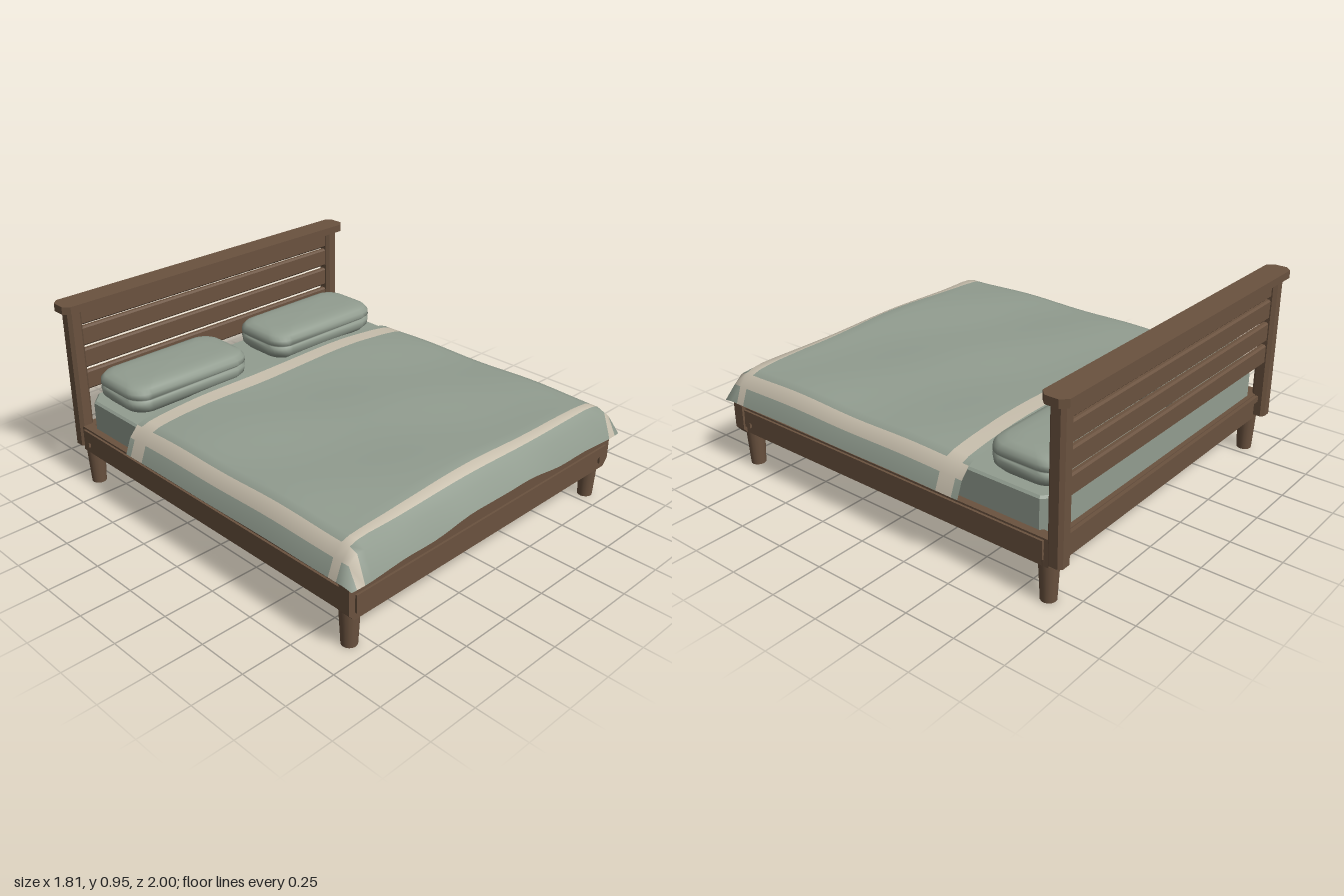
import * as THREE from 'three';

const mat = (name, color, side = THREE.FrontSide) => {
  const m = new THREE.MeshStandardMaterial({ color, side });
  m.name = name;
  return m;
};

// Octagonal outline: a w x h rectangle with cut corners
function cutRect(w, h, c) {
  const x = w / 2, y = h / 2;
  return new THREE.Shape([
    [-x + c, -y], [x - c, -y], [x, -y + c], [x, y - c],
    [x - c, y], [-x + c, y], [-x, y - c], [-x, -y + c],
  ].map(p => new THREE.Vector2(...p)));
}

// Straight extrusion along z, centred
function prism(shape, depth) {
  const g = new THREE.ExtrudeGeometry(shape, { depth, bevelEnabled: false });
  return g.translate(0, 0, -depth / 2);
}

// Piecewise linear profile lookup
function lookup(points, t) {
  for (let i = 1; i < points.length; i++) {
    const [a, ya] = points[i - 1], [b, yb] = points[i];
    if (t <= b) return ya + (yb - ya) * Math.max(0, (t - a) / (b - a));
  }
  return points[points.length - 1][1];
}

// Sorted list with every span subdivided to a maximum step
function subdivide(stops, step) {
  const out = [stops[0]];
  for (let i = 1; i < stops.length; i++) {
    const a = stops[i - 1], b = stops[i], n = Math.ceil((b - a) / step - 1e-6);
    for (let k = 1; k <= n; k++) out.push(a + (b - a) * k / n);
  }
  return out;
}

// Draped cover: a height field with cream bands as a second material group
function coverGeometry() {
  const xs = subdivide([-0.905, -0.875, -0.83, -0.79, 0.79, 0.83, 0.875, 0.905], 0.06);
  const zs = subdivide([-0.475, -0.44, -0.355, 0.87, 0.915, 0.955, 1], 0.06);
  const side = [[0, 0.515], [0.5, 0.509], [0.7, 0.501], [0.79, 0.491], [0.83, 0.478], [0.875, 0.425], [0.905, 0.345]];
  const pos = [], plain = [], band = [];
  for (const z of zs) for (const x of xs) {
    const ax = Math.abs(x);
    const hem = 0.342 + 0.04 * Math.max(0, 1 - ax / 0.65) + 0.006 * Math.cos(x * 15 + 3);
    const front = lookup([[0.87, 0.52], [0.915, 0.497], [0.955, 0.462], [1, hem]], z);
    const wave = 0.005 * Math.sin(x * 7 + z * 3) + 0.004 * Math.sin(z * 9 - x * 4);
    const edge = Math.min(1, (0.905 - ax) / 0.1 + 0.3) * Math.min(1, (1 - z) / 0.1);
    pos.push(x, Math.min(lookup(side, ax), front) + wave * edge, z);
  }
  const n = xs.length;
  for (let j = 0; j < zs.length - 1; j++) for (let i = 0; i < n - 1; i++) {
    const x = Math.abs(xs[i] + xs[i + 1]) / 2, z = (zs[j] + zs[j + 1]) / 2;
    const cream = (x > 0.83 && x < 0.875) || (z > -0.44 && z < -0.355) || (z > 0.87 && z < 0.915);
    const a = j * n + i, b = a + n;
    (cream ? band : plain).push(a, b, b + 1, a, b + 1, a + 1);
  }
  const g = new THREE.BufferGeometry();
  g.setAttribute('position', new THREE.Float32BufferAttribute(pos, 3));
  g.setIndex([...plain, ...band]);
  g.addGroup(0, plain.length, 0);
  g.addGroup(plain.length, band.length, 1);
  g.computeVertexNormals();
  return g;
}

// Cushion lofted through rounded rectangles, each ring given as [inset, height]
function pillowGeometry(w, d) {
  const rings = [[0.35, 0], [0.06, 0], [0.025, 0.01], [0.004, 0.035], [0, 0.068], [0.013, 0.075], [0.013, 0.083],
    [0, 0.09], [0.002, 0.115], [0.016, 0.135], [0.045, 0.146], [0.09, 0.15], [0.35, 0.151]];
  const pos = [], idx = [], per = 32;
  for (const [inset, y] of rings) {
    const hx = Math.max(0, w / 2 - inset), hz = Math.max(0, d / 2 - inset);
    const r = Math.min(0.09, hx, hz);
    for (let k = 0; k < per; k++) {
      const q = Math.floor(k / 8), a = (q + (k % 8) / 7) * Math.PI / 2;
      const sx = q === 0 || q === 3 ? 1 : -1, sz = q < 2 ? 1 : -1;
      pos.push(sx * (hx - r) + r * Math.cos(a), y, sz * (hz - r) + r * Math.sin(a));
    }
  }
  for (let j = 0; j < rings.length - 1; j++) for (let k = 0; k < per; k++) {
    const a = j * per + k, b = j * per + (k + 1) % per;
    idx.push(a, a + per, b + per, a, b + per, b);
  }
  const g = new THREE.BufferGeometry();
  g.setAttribute('position', new THREE.Float32BufferAttribute(pos, 3));
  g.setIndex(idx);
  g.computeVertexNormals();
  return g;
}

export function createModel() {
  const bed = new THREE.Group();
  bed.name = 'bed';
  const wood = mat('wood', 0x6a523f);
  const darkWood = mat('darkWood', 0x3a2d22);
  const linen = mat('linen', 0x929d90);
  const cover = mat('coverGreen', 0x929d90, THREE.DoubleSide);
  const cream = mat('creamBand', 0xc8bfad, THREE.DoubleSide);

  const add = (name, geo, material, x = 0, y = 0, z = 0) => {
    const m = new THREE.Mesh(geo, material);
    m.name = name;
    m.position.set(x, y, z);
    bed.add(m);
    return m;
  };
  const box = (name, w, h, d, x, y, z, material = wood) =>
    add(name, new THREE.BoxGeometry(w, h, d), material, x, y, z);

  // Headboard: cap with cut corners and four bevelled slats
  const cap = prism(cutRect(1.81, 0.125, 0.03), 0.038).rotateX(-Math.PI / 2);
  add('headboardCap', cap, wood, 0, 0.931, -0.9375);
  [0.872, 0.763, 0.648, 0.532].forEach((y, i) => {
    const slat = prism(cutRect(0.032, 0.098, 0.008), 1.64).rotateY(Math.PI / 2);
    add('headboardSlat' + (i + 1), slat, wood, 0, y, -0.937);
  });

  // Posts, legs and side rails, mirrored left and right
  for (const s of [1, -1]) {
    const label = s > 0 ? 'left' : 'right';
    const post = prism(cutRect(0.075, 0.075, 0.016), 0.715).rotateX(-Math.PI / 2);
    add(label + 'Post', post, wood, s * 0.8375, 0.557, -0.9375);
    for (const [end, z] of [['Front', 0.905], ['Back', -0.88]])
      add(label + end + 'Leg', new THREE.CylinderGeometry(0.047, 0.036, 0.21, 16), wood, s * 0.82, 0.105, z);
    box(label + 'Rail', 0.05, 0.13, 1.83, s * 0.84, 0.245, 0.005);
    // Raised moulding with short returns at both ends
    box(label + 'RailMoulding', 0.012, 0.058, 1.79, s * 0.87, 0.272, 0.01);
    for (const z of [-0.868, 0.89])
      box(label + 'RailReturn', 0.012, 0.03, 0.035, s * 0.87, 0.229, z);
  }
  box('backRail', 1.66, 0.13, 0.045, 0, 0.245, -0.9);
  box('backRailLedge', 1.62, 0.03, 0.02, 0, 0.29, -0.93);

  // Footboard with cut lower corners, moulding and end returns
  const foot = new THREE.Shape([
    [-0.855, 0.165], [0.855, 0.165], [0.885, 0.2], [0.885, 0.335],
    [0.875, 0.35], [-0.875, 0.35], [-0.885, 0.335], [-0.885, 0.2],
  ].map(p => new THREE.Vector2(...p)));
  add('footboard', prism(foot, 0.058), wood, 0, 0, 0.937);
  box('footboardMoulding', 1.7, 0.05, 0.012, 0, 0.261, 0.97);
  for (const s of [1, -1])
    box('footboardReturn', 0.045, 0.036, 0.012, s * 0.8275, 0.218, 0.97);

  // Dark base panel inside the rails
  box('basePanel', 1.66, 0.03, 1.82, 0, 0.215, 0.005, darkWood);

  // Mattress with cut corners and a slightly softened top edge
  const mattress = new THREE.ExtrudeGeometry(cutRect(1.64, 1.78, 0.06), {
    depth: 0.215, bevelThickness: 0.01, bevelSize: 0.01, bevelSegments: 1,
  }).rotateX(-Math.PI / 2);
  add('mattress', mattress, linen, 0, 0.235, 0);

  // Cover and the pair of pillows
  add('cover', coverGeometry(), [cover, cream]);
  for (const s of [1, -1])
    add(s > 0 ? 'leftPillow' : 'rightPillow', pillowGeometry(0.7, 0.36), linen, s * 0.443, 0.455, -0.7);

  return bed;
}
